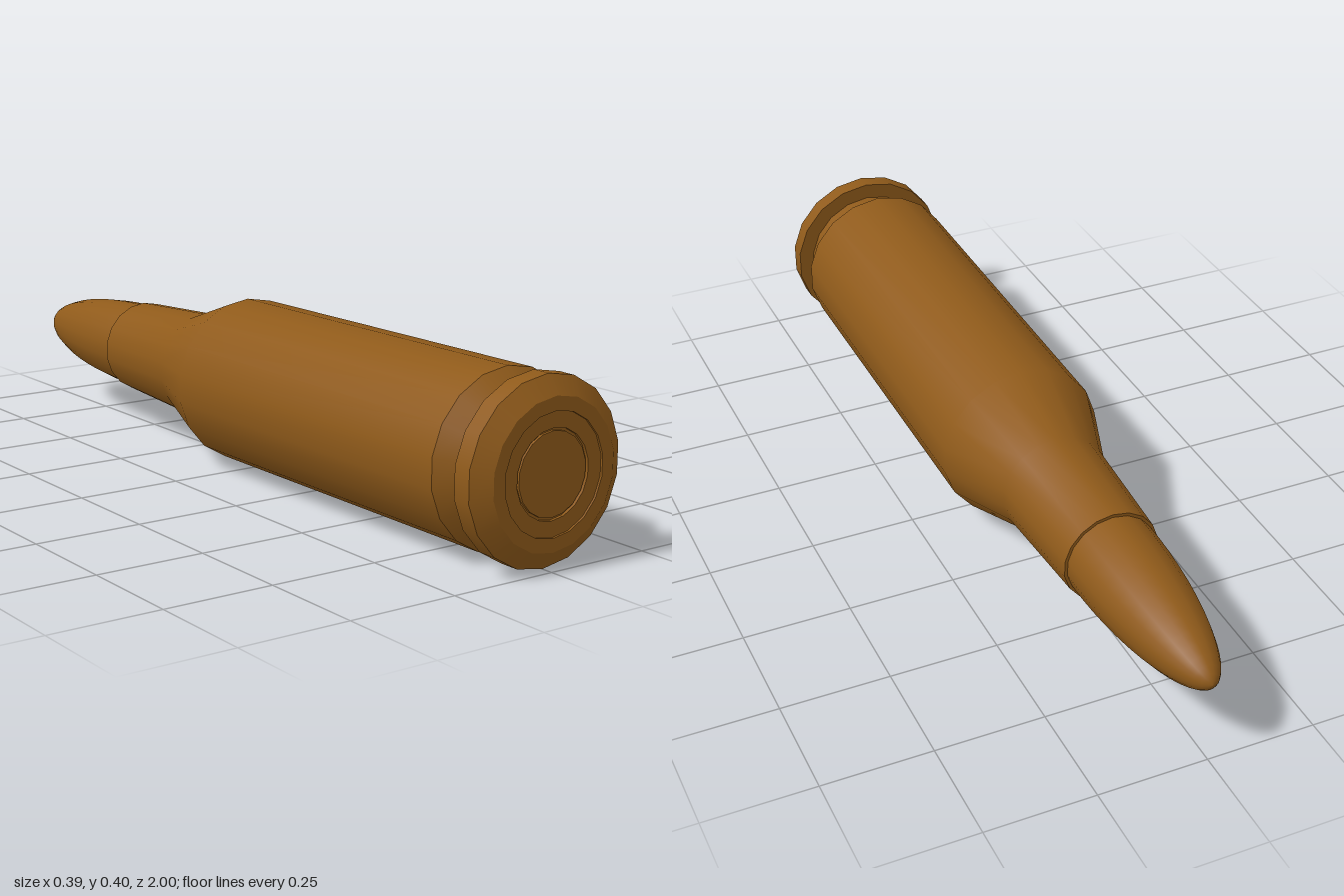
import * as THREE from 'three';
import { mergeGeometries } from 'three/addons/utils/BufferGeometryUtils.js';

const SIDES = 18;

// Turns [radius, z] profiles around the long axis; each run is smooth, with a sharp edge between runs.
function turned(name, material, runs) {
  const parts = runs.map((run) =>
    new THREE.LatheGeometry(run.map(([r, z]) => new THREE.Vector2(r, -z)), SIDES));
  const geometry = mergeGeometries(parts);
  geometry.rotateX(-Math.PI / 2);
  const mesh = new THREE.Mesh(geometry, material);
  mesh.name = name;
  mesh.position.y = 0.2;
  return mesh;
}

// Splits a profile into one sharp-edged run per segment.
const sharp = (points) => points.slice(1).map((p, i) => [points[i], p]);

export function createModel() {
  const group = new THREE.Group();
  group.name = 'cartridge';
  const copper = new THREE.MeshStandardMaterial({ color: 0x8f5a1a });

  // Primer cap set into the base
  group.add(turned('primer', copper, sharp([[0, 0.994], [0.089, 0.994], [0.089, 0.988]])));

  // Base face, bevelled rim and extractor groove
  group.add(turned('rim', copper, sharp([
    [0.089, 0.988], [0.095, 0.988], [0.095, 0.995], [0.13, 0.995], [0.13, 1],
    [0.16, 1], [0.2, 0.973], [0.2, 0.93], [0.162, 0.93], [0.162, 0.89], [0.195, 0.855],
  ])));

  // Case body, shoulder and neck, then the flat mouth
  group.add(turned('case', copper, [
    [[0.195, 0.855], [0.194, -0.07], [0.128, -0.26], [0.113, -0.547]],
    [[0.113, -0.547], [0.1, -0.547]],
  ]));

  // Bullet with a rounded ogive
  const ogive = [];
  for (let i = 0; i <= 14; i++) {
    const t = Math.sin((i / 14) * Math.PI / 2);
    ogive.push([i === 14 ? 0 : 0.106 * Math.pow(1 - t * t, 0.54), -0.54 - 0.46 * t]);
  }
  group.add(turned('bullet', copper, [ogive]));

  return group;
}
